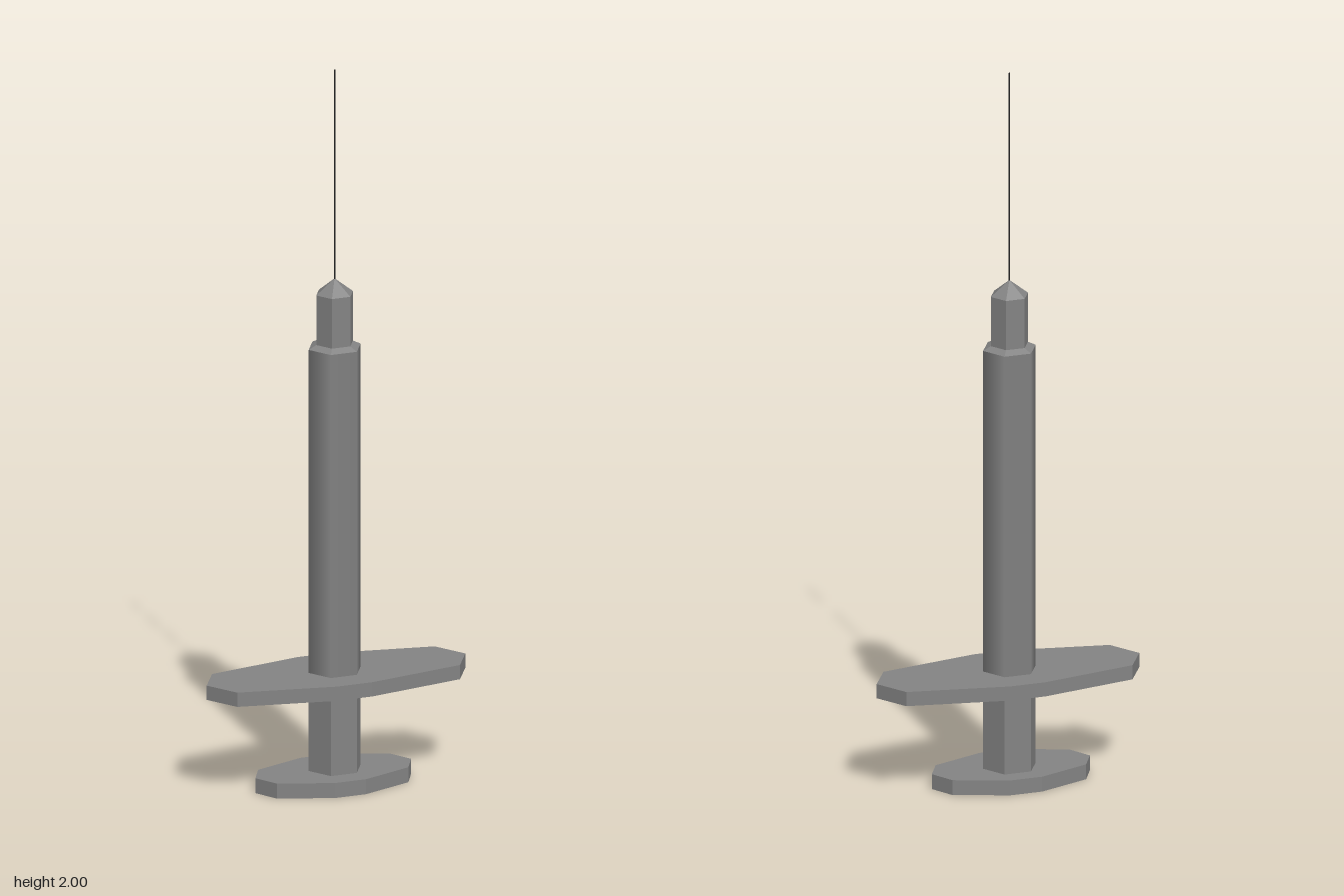
import * as THREE from 'three';

const flat = new THREE.MeshStandardMaterial({ color: 0x848484, flatShading: true });
const smooth = new THREE.MeshStandardMaterial({ color: 0x848484 });
const dark = new THREE.MeshStandardMaterial({ color: 0x222222, flatShading: true });
const AXIS_X = -0.004;

export function createModel() {
  const group = new THREE.Group();

  const add = (name, geometry, material = flat) => {
    const mesh = new THREE.Mesh(geometry, material);
    mesh.name = name;
    group.add(mesh);
  };

  // Six-sided section with corners pointing along x
  const hex = (name, rTop, rBottom, y0, y1, material = flat, open = false) => {
    const g = new THREE.CylinderGeometry(rTop, rBottom, y1 - y0, 6, 1, open, Math.PI / 2);
    add(name, g.translate(AXIS_X, (y0 + y1) / 2, 0), material);
  };

  // Ten-sided plate: pointed ends, shoulders, and a short straight middle from midA to midB
  const plate = (name, cx, cz, tip, shoulderX, shoulderZ, midA, midB, midZ, y0, y1) => {
    const outline = [
      [tip, 0], [shoulderX, shoulderZ], [midB, midZ], [midA, midZ], [-shoulderX, shoulderZ],
      [-tip, 0], [-shoulderX, -shoulderZ], [midA, -midZ], [midB, -midZ], [shoulderX, -shoulderZ],
    ];
    const shape = new THREE.Shape(outline.map(([x, z]) => new THREE.Vector2(x, z)));
    const g = new THREE.ExtrudeGeometry(shape, { depth: y1 - y0, bevelEnabled: false });
    add(name, g.rotateX(-Math.PI / 2).translate(cx, y0, cz), flat);
  };

  // Plunger: thumb rest and rod
  plate('thumbRest', -0.01, 0.005, 0.225, 0.19, 0.066, -0.045, 0.045, 0.121, 0, 0.042);
  hex('plungerRod', 0.075, 0.075, 0.042, 0.28);

  // Barrel with finger flange and sloped shoulder
  plate('fingerFlange', 0, 0, 0.374, 0.322, 0.089, -0.055, 0.046, 0.141, 0.277, 0.317);
  hex('barrel', 0.075, 0.075, 0.3, 1.223, smooth);
  hex('barrelShoulder', 0.053, 0.075, 1.223, 1.234, flat, true);

  // Needle hub, its pointed tip, and the needle
  hex('needleHub', 0.053, 0.053, 1.23, 1.373);
  hex('hubTip', 0, 0.053, 1.373, 1.415, flat, true);
  hex('needle', 0.002, 0.002, 1.4, 2, dark);

  return group;
}
